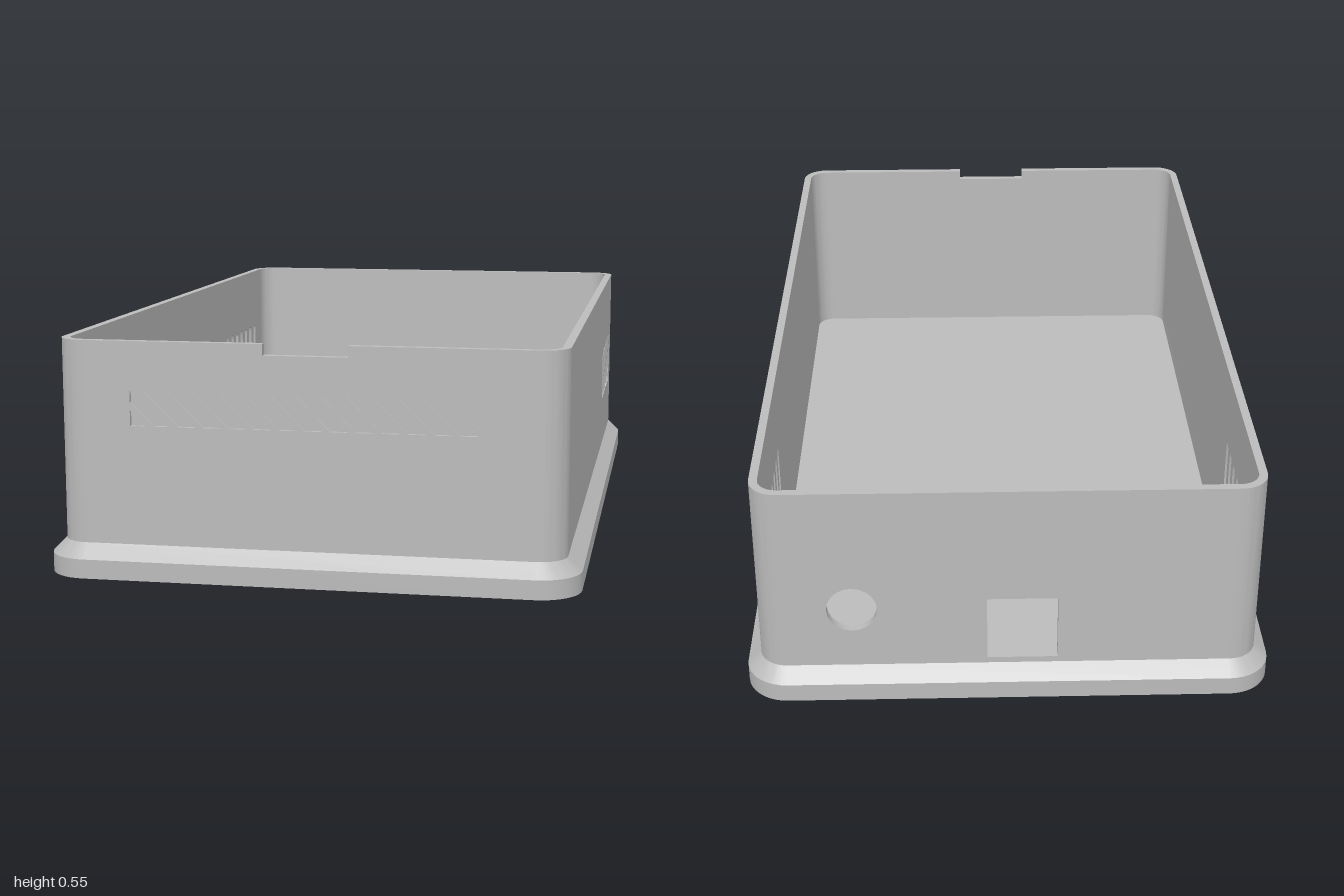
import * as THREE from 'three';
import { toCreasedNormals } from 'three/addons/utils/BufferGeometryUtils.js';

const CX = 0.52, CZ = 0.9;            // centres of the rounded corners
const R_FOOT = 0.1, R_OUT = 0.067, R_IN = 0.047;
const FLOOR = 0.033, SEAM = 0.078, TOP = 0.55;
const T = R_OUT - R_IN;               // wall thickness

const polygon = (pts, Type = THREE.Shape) => new Type(pts.map(([x, y]) => new THREE.Vector2(x, y)));
const rect = (x0, y0, x1, y1, Type) => polygon([[x0, y0], [x1, y0], [x1, y1], [x0, y1]], Type);
const extrude = (shape, depth) => toCreasedNormals(
  new THREE.ExtrudeGeometry(shape, { depth, bevelEnabled: false, curveSegments: 10 }), 0.5);

// Foot tray: rounded-rectangle rings joined from the underside round to the inner floor
function trayGeometry() {
  const rings = [[0, 0, 0], [1, R_FOOT, 0], [1, R_FOOT, 0.045], [1, R_OUT, SEAM],
    [1, R_IN, SEAM], [1, R_IN, FLOOR], [0, 0, FLOOR]]; // spread, radius, height
  const seg = 10, ring = ([s, r, y]) => {
    const pts = [];
    [[1, 1], [-1, 1], [-1, -1], [1, -1]].forEach(([sx, sz], q) => {
      for (let i = 0; i <= seg; i++) {
        const a = (q + i / seg) * Math.PI / 2;
        pts.push([s * sx * CX + r * Math.cos(a), y, s * sz * CZ + r * Math.sin(a)]);
      }
    });
    return pts;
  };
  const loops = rings.map(ring), pos = [];
  for (let i = 0; i < loops.length - 1; i++) {
    const lo = loops[i], hi = loops[i + 1], n = lo.length;
    for (let j = 0; j < n; j++) {
      const k = (j + 1) % n;
      if (rings[i + 1][0]) pos.push(...lo[j], ...hi[j], ...hi[k]);
      if (rings[i][0]) pos.push(...lo[j], ...hi[k], ...lo[k]);
    }
  }
  const geo = new THREE.BufferGeometry();
  geo.setAttribute('position', new THREE.Float32BufferAttribute(pos, 3));
  return toCreasedNormals(geo, 0.5);
}

// Cuts a polygon at a vertical line, keeping the side where sign * (x - limit) > 0
function clip(pts, limit, sign) {
  const out = [];
  pts.forEach((a, i) => {
    const b = pts[(i + 1) % pts.length];
    const da = sign * (a[0] - limit), db = sign * (b[0] - limit);
    if (da > 0) out.push(a);
    if (da * db < 0) {
      const t = da / (da - db);
      out.push([a[0] + t * (b[0] - a[0]), a[1] + t * (b[1] - a[1])]);
    }
  });
  return out;
}

// Front wall outline with the shallow notch in its rim
const frontShape = () => polygon([[-CX, SEAM], [CX, SEAM], [CX, TOP], [0.098, TOP],
  [0.098, 0.524], [-0.098, 0.524], [-0.098, TOP], [-CX, TOP]]);

// Slanted grille grooves, trimmed to a rectangle
function addGrooves(shape) {
  const y0 = 0.355, y1 = 0.435, h = y1 - y0;
  for (let k = -2; k <= 13; k++) {
    const x = -0.376 + k * 0.0587, w = 0.04;
    const slot = [[x, y1], [x + h, y0], [x + h + w, y0], [x + w, y1]];
    const pts = clip(clip(slot, -0.409, 1), 0.406, -1);
    if (pts.length > 2) shape.holes.push(polygon(pts, THREE.Path));
  }
  return shape;
}

// Side wall with seven round-ended vents
function sideShape() {
  const shape = rect(-CZ, SEAM, CZ, TOP);
  const r = 0.0145, y0 = 0.217 + r, y1 = 0.375 - r;
  for (let i = 0; i < 7; i++) {
    const u = 0.475 + i * 0.0554, vent = new THREE.Path();
    vent.absarc(u, y1, r, 0, Math.PI, false);
    vent.absarc(u, y0, r, Math.PI, Math.PI * 2, false);
    vent.closePath();
    shape.holes.push(vent);
  }
  return shape;
}

// Back wall with a round socket hole and a square port
function backShape() {
  const shape = rect(-CX, SEAM, CX, TOP);
  const socket = new THREE.Path();
  socket.absarc(0.364, 0.235, 0.059, 0, Math.PI * 2, false);
  shape.holes.push(socket, rect(-0.114, 0.093, 0.051, 0.259, THREE.Path));
  return shape;
}

export function createModel() {
  const group = new THREE.Group();
  group.name = 'openEnclosure';
  const grey = new THREE.MeshStandardMaterial({ color: 0xbbbbbb });
  grey.name = 'grey plastic';
  const add = (name, geo, x = 0, y = 0, z = 0) => {
    const mesh = new THREE.Mesh(geo, grey);
    mesh.name = name;
    mesh.position.set(x, y, z);
    group.add(mesh);
    return mesh;
  };

  add('footTray', trayGeometry());

  // Front wall: solid inner layer and grooved outer layer
  add('frontWallInner', extrude(frontShape(), T / 2), 0, 0, CZ + R_IN);
  add('frontWallGrille', extrude(addGrooves(frontShape()), T / 2), 0, 0, CZ + R_IN + T / 2);
  add('backWall', extrude(backShape(), T), 0, 0, -CZ - R_OUT);

  // Vented side walls
  const side = extrude(sideShape(), T).rotateY(Math.PI / 2);
  add('leftWall', side, CX + R_IN);
  add('rightWall', side, -CX - R_OUT);

  // Rounded wall corners
  const arc = new THREE.Shape();
  arc.absarc(0, 0, R_OUT, 0, Math.PI / 2, false);
  arc.absarc(0, 0, R_IN, Math.PI / 2, 0, true);
  arc.closePath();
  const corner = extrude(arc, TOP - SEAM).rotateX(-Math.PI / 2);
  [[1, -1], [-1, -1], [-1, 1], [1, 1]].forEach(([sx, sz], i) => {
    add('wallCorner' + (i + 1), corner, sx * CX, SEAM, sz * CZ).rotation.y = i * Math.PI / 2;
  });

  return group;
}
